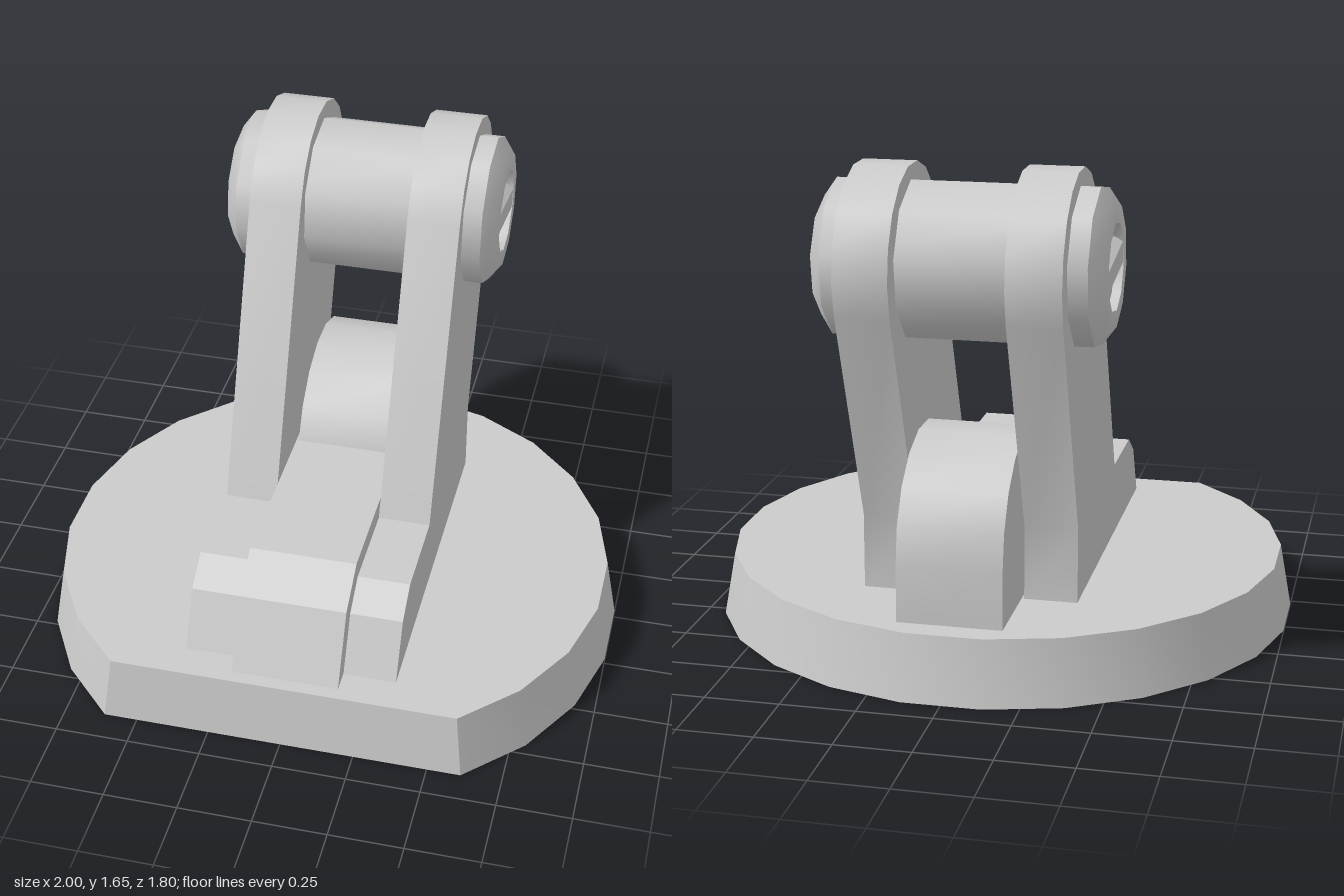
import * as THREE from 'three';
import { toCreasedNormals } from 'three/addons/utils/BufferGeometryUtils.js';

const material = new THREE.MeshStandardMaterial({ color: 0xcccccc });
const rad = THREE.MathUtils.degToRad;

function part(name, geometry, crease = 0.45) {
  const mesh = new THREE.Mesh(toCreasedNormals(geometry, crease), material);
  mesh.name = name;
  return mesh;
}

// Points on an arc, as [z, y] pairs, angles in degrees from the front
function arc(cz, cy, r, from, to, steps) {
  return Array.from({ length: steps + 1 }, (_, i) => {
    const a = rad(from + ((to - from) * i) / steps);
    return [cz + r * Math.cos(a), cy + r * Math.sin(a)];
  });
}

// A plate with a side profile of [z, y] points, centred on x = 0
function plate(profile, width) {
  const shape = new THREE.Shape(profile.map(([z, y]) => new THREE.Vector2(z, y)));
  const geo = new THREE.ExtrudeGeometry(shape, { depth: width, bevelEnabled: false });
  return geo.translate(0, 0, -width / 2).rotateY(-Math.PI / 2);
}

// Tapered round base with a flat front
function baseGeometry() {
  const r = 1.008, points = [];
  for (let i = 0; i < 20; i++) {
    const a = rad(-142.5 + 15 * i);
    points.push(new THREE.Vector2(r * Math.sin(a), r * Math.cos(a)));
  }
  const geo = new THREE.ExtrudeGeometry(new THREE.Shape(points), { depth: 0.22, bevelEnabled: false });
  geo.rotateX(-Math.PI / 2);
  const p = geo.attributes.position;
  for (let i = 0; i < p.count; i++) {
    if (p.getY(i) > 0.1) p.setXYZ(i, p.getX(i) * 0.96, 0.22, p.getZ(i) * 0.96);
  }
  return geo.translate(0, 0, 0.096);
}

export function createModel() {
  const model = new THREE.Group();
  model.name = 'pivotBracket';
  model.add(part('base', baseGeometry()));

  // Leaning side arms with stepped feet
  const armProfile = [
    [-0.49, 0.21], [0.75, 0.21], [0.65, 0.405], [0.54, 0.475], [0.22, 0.475],
    ...arc(-0.475, 1.33, 0.325, 20, 202, 9), [-0.49, 0.475],
  ];
  for (const side of [-1, 1]) {
    const arm = part(side > 0 ? 'leftArm' : 'rightArm', plate(armProfile, 0.178));
    arm.position.x = side * 0.272;
    model.add(arm);
  }

  // Low block between the feet and the round hump behind it
  model.add(part('centreBlock', plate(
    [[-0.3, 0.21], [0.825, 0.21], [0.7, 0.45], [0.555, 0.54], [-0.3, 0.54]], 0.364)));
  model.add(part('rearHump', plate(
    [[-0.78, 0.21], [-0.04, 0.21], ...arc(-0.41, 0.41, 0.37, 0, 180, 9)], 0.348)));

  // Ten-sided pin with chamfered ends and a recess in each end
  const pin = new THREE.Group();
  pin.name = 'pin';
  pin.position.set(0, 1.343, -0.467);
  const half = [[0.262, 0.425], [0.2, 0.47], [0.145, 0.47], [0.145, 0.44], [0, 0.44]];
  const profile = [
    ...half.map(([r, x]) => new THREE.Vector2(r, -x)).reverse(),
    ...half.map(([r, x]) => new THREE.Vector2(r, x)),
  ];
  const barrel = new THREE.LatheGeometry(profile, 10, rad(10));
  pin.add(part('barrel', barrel.rotateZ(-Math.PI / 2), 0.7));

  // Tapered grip bar across each recess
  for (const side of [-1, 1]) {
    const geo = new THREE.BoxGeometry(0.03, 0.11, 0.27);
    const p = geo.attributes.position;
    for (let i = 0; i < p.count; i++) {
      if (p.getX(i) * side > 0) p.setY(i, p.getY(i) * 0.62);
    }
    const bar = part(side > 0 ? 'leftGripBar' : 'rightGripBar', geo);
    bar.position.x = side * 0.454;
    bar.rotation.x = rad(-10);
    pin.add(bar);
  }
  model.add(pin);
  return model;
}
